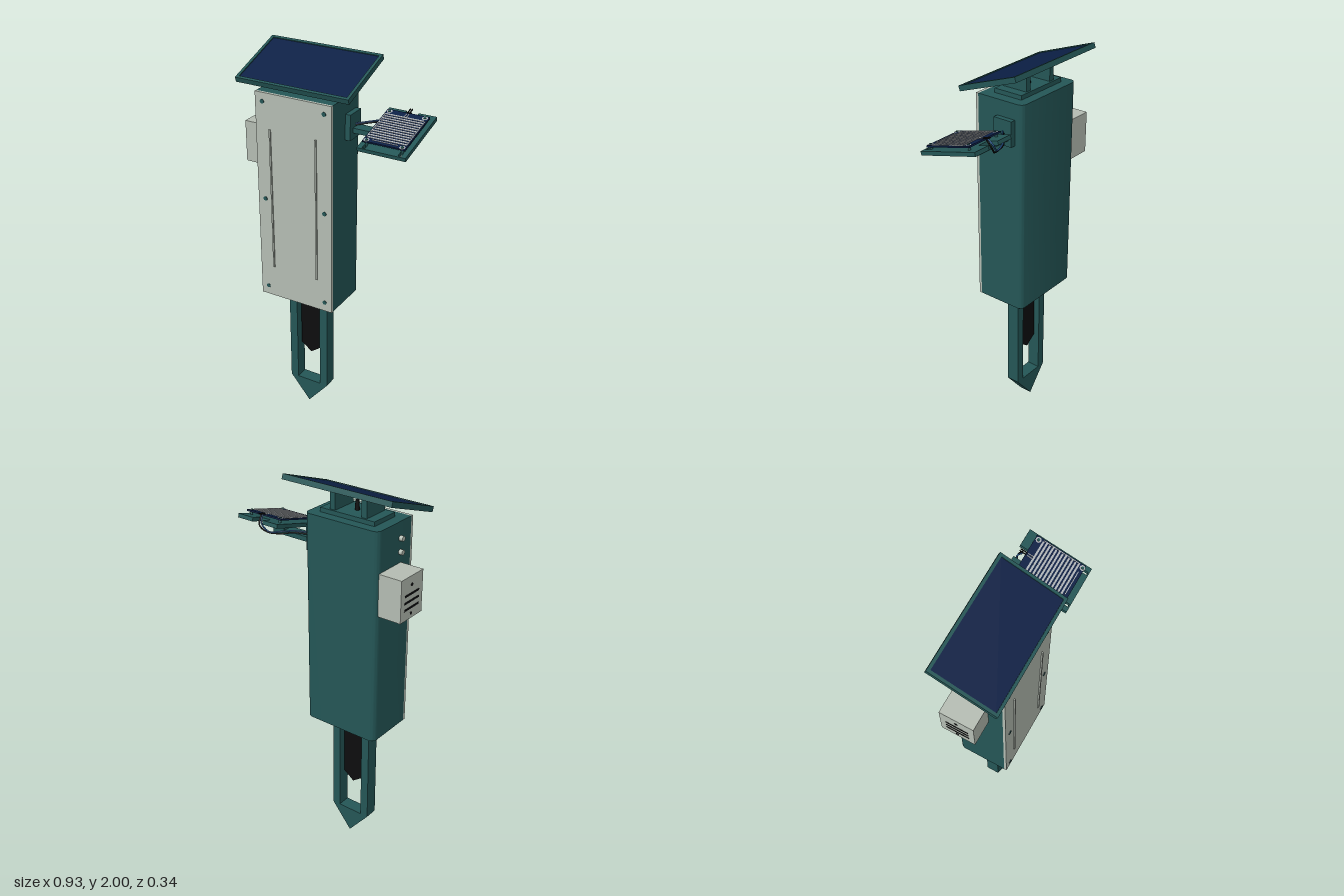
import * as THREE from 'three';
import { toCreasedNormals } from 'three/addons/utils/BufferGeometryUtils.js';

const mat = (name, color) => {
  const m = new THREE.MeshStandardMaterial({ color });
  m.name = name;
  return m;
};

export function createModel() {
  const teal = mat('teal plastic', 0x245656);
  const grey = mat('pale grey plastic', 0xb4bcb2);
  const navy = mat('navy panel', 0x0b1f45);
  const black = mat('black', 0x0d0d0e);
  const silver = mat('silver trace', 0xb2b6ba);
  const blue = mat('blue wire', 0x2a5c9c);

  const root = new THREE.Group();
  root.name = 'soilStation';

  const add = (parent, name, geo, material, x = 0, y = 0, z = 0) => {
    const m = new THREE.Mesh(geo, material);
    m.name = name;
    m.position.set(x, y, z);
    parent.add(m);
    return m;
  };
  // Box given by its limits
  const box = (parent, name, material, [x0, x1], [y0, y1], [z0, z1]) =>
    add(parent, name, new THREE.BoxGeometry(x1 - x0, y1 - y0, z1 - z0), material,
      (x0 + x1) / 2, (y0 + y1) / 2, (z0 + z1) / 2);
  const poly = (pts) => new THREE.Shape(pts.map(([a, b]) => new THREE.Vector2(a, b)));
  const rect = (x0, x1, y0, y1) => poly([[x0, y0], [x1, y0], [x1, y1], [x0, y1]]);
  const extrude = (shape, depth, segs = 6) =>
    new THREE.ExtrudeGeometry(shape, { depth, bevelEnabled: false, curveSegments: segs });
  // Extrude upward: shape coordinates are (x, -z)
  const extrudeUp = (shape, height, segs) => extrude(shape, height, segs).rotateX(-Math.PI / 2);
  const tube = (parent, name, material, pts, r) =>
    add(parent, name, new THREE.TubeGeometry(
      new THREE.CatmullRomCurve3(pts.map((p) => new THREE.Vector3(...p))), 24, r, 6), material);

  // Main housing with rounded rear corners
  const housing = new THREE.Shape();
  const r = 0.03;
  housing.moveTo(-0.34, -0.135);
  housing.lineTo(0.08, -0.135);
  housing.lineTo(0.08, 0.13 - r);
  housing.absarc(0.08 - r, 0.13 - r, r, 0, Math.PI / 2);
  housing.absarc(-0.34 + r, 0.13 - r, r, Math.PI / 2, Math.PI);
  housing.closePath();
  add(root, 'housing', toCreasedNormals(extrudeUp(housing, 1.115), 0.5), teal, 0, 0.715, 0);
  box(root, 'bottomFlange', teal, [-0.31, 0.05], [0.69, 0.715], [-0.095, 0.095]);

  // Front cover, ribs and screws
  box(root, 'frontCover', grey, [-0.34, 0.08], [0.715, 1.83], [0.135, 0.149]);
  for (const x of [-0.26, -0.005])
    box(root, 'coverRib', grey, [x - 0.004, x + 0.004], [0.89, 1.65], [0.149, 0.156]);
  for (const x of [-0.3, 0.04])
    for (const y of [0.765, 1.273, 1.785])
      add(root, 'coverScrew', new THREE.CylinderGeometry(0.011, 0.011, 0.004, 16).rotateX(Math.PI / 2),
        teal, x, y, 0.15);

  // Vented sensor box on the side
  box(root, 'sensorBox', grey, [-0.465, -0.34], [1.41, 1.625], [-0.115, 0.06]);
  for (const y of [1.465, 1.5, 1.535])
    box(root, 'ventSlot', black, [-0.467, -0.464], [y - 0.005, y + 0.005], [-0.085, 0.03]);
  for (const y of [1.435, 1.58])
    add(root, 'ventHole', new THREE.CylinderGeometry(0.008, 0.008, 0.004, 12).rotateZ(Math.PI / 2),
      black, -0.465, y, -0.03);
  for (const y of [1.68, 1.748])
    add(root, 'sideButton', new THREE.CylinderGeometry(0.013, 0.013, 0.022, 16).rotateZ(Math.PI / 2),
      grey, -0.348, y, 0.05);

  // Ground fork with pointed foot
  const fork = poly([[-0.245, 0.69], [-0.245, 0.14], [-0.13, 0], [-0.015, 0.14], [-0.015, 0.69]]);
  fork.holes.push(rect(-0.2, -0.06, 0.14, 0.685));
  add(root, 'groundFork', extrude(fork, 0.07), teal, 0, 0, -0.034);

  // Soil probe
  const probe = poly([[-0.19, 0.69], [-0.19, 0.36], [-0.13, 0.315], [-0.07, 0.36], [-0.07, 0.69]]);
  add(root, 'soilProbe', extrude(probe, 0.016), black, 0, 0, -0.008);

  // Panel mount: shallow rim, two wedge legs and a cable gland
  box(root, 'mountBase', teal, [-0.285, 0.025], [1.83, 1.852], [-0.08, 0.08]);
  const leg = poly([[-0.07, 1.85], [0.07, 1.85], [0.07, 1.946], [-0.07, 1.897]]);
  for (const x of [-0.235, -0.055])
    add(root, 'mountLeg', extrude(leg, 0.03).rotateY(Math.PI / 2), teal, x, 0, 0);
  add(root, 'cableGland', new THREE.CylinderGeometry(0.009, 0.012, 0.05, 12), black, -0.13, 1.875, 0);

  // Tilted solar panel
  const solar = new THREE.Group();
  solar.name = 'solarPanel';
  solar.position.set(-0.1285, 1.933, 0);
  solar.rotation.x = 0.34;
  root.add(solar);
  const frame = rect(-0.307, 0.307, -0.176, 0.176);
  frame.holes.push(rect(-0.292, 0.292, -0.161, 0.161));
  add(solar, 'panelFrame', extrudeUp(frame, 0.027), teal, 0, -0.0135, 0);
  box(solar, 'panelBack', teal, [-0.3, 0.3], [-0.013, 0], [-0.17, 0.17]);
  box(solar, 'solarCells', navy, [-0.293, 0.293], [0, 0.009], [-0.162, 0.162]);

  // Arm bracket
  box(root, 'armBracket', teal, [0.08, 0.107], [1.62, 1.75], [-0.085, 0.02]);
  box(root, 'arm', teal, [0.107, 0.33], [1.652, 1.677], [-0.068, -0.006]);
  box(root, 'armPost', teal, [0.26, 0.33], [1.677, 1.698], [-0.068, -0.006]);

  // Tilted rain sensor tray, notched at the back
  const rain = new THREE.Group();
  rain.name = 'rainSensor';
  rain.position.set(0.339, 1.695, -0.009);
  rain.rotation.x = 0.26;
  root.add(rain);
  const tray = poly([[-0.124, -0.168], [0.124, -0.168], [0.124, 0.168], [0.031, 0.168],
    [0.031, 0.11], [-0.032, 0.11], [-0.032, 0.168], [-0.124, 0.168]]);
  for (const x of [-0.091, 0.091]) tray.holes.push(rect(x - 0.008, x + 0.008, -0.161, -0.13));
  add(rain, 'rainTray', extrudeUp(tray, 0.02), teal, 0, -0.01, 0);
  box(rain, 'rainBoard', navy, [-0.109, 0.109], [0.024, 0.032], [-0.127, 0.137]);

  // Corner posts with ring pads
  for (const x of [-0.091, 0.091])
    for (const z of [-0.11, 0.127]) {
      add(rain, 'boardPost', new THREE.CylinderGeometry(0.007, 0.007, 0.03, 12), teal, x, 0.022, z);
      add(rain, 'ringPad', new THREE.RingGeometry(0.007, 0.014, 20).rotateX(-Math.PI / 2),
        silver, x, 0.0335, z);
    }

  // Interleaved comb of traces
  const trace = (x0, x1, z0, z1) => box(rain, 'trace', silver, [x0, x1], [0.031, 0.034], [z0, z1]);
  for (let i = 0; i < 12; i++) {
    const z = -0.086 + i * 0.0172;
    const gap = i % 2 ? [0.007, 0] : [0, 0.007];
    trace(-0.104 + gap[0], 0.104 - gap[1], z - 0.0045, z + 0.0045);
  }
  trace(-0.104, -0.1, -0.086, 0.103);
  trace(0.1, 0.104, -0.086, 0.103);
  trace(-0.065, 0.065, 0.117, 0.121);
  for (const x of [-0.005, 0.007]) trace(x - 0.002, x + 0.002, -0.118, -0.086);

  // Connector pins and wires
  for (const x of [-0.004, 0.006])
    box(rain, 'pin', black, [x - 0.002, x + 0.002], [0.032, 0.037], [-0.158, -0.122]);
  tube(root, 'blueWire', blue, [[0.1, 1.69, -0.03], [0.18, 1.7, -0.09], [0.22, 1.7, -0.13],
    [0.29, 1.69, -0.15], [0.325, 1.73, -0.16], [0.335, 1.76, -0.135]], 0.004);
  tube(root, 'blackWire', black, [[0.1, 1.682, -0.035], [0.18, 1.692, -0.093], [0.22, 1.69, -0.132],
    [0.3, 1.683, -0.146], [0.335, 1.715, -0.163], [0.345, 1.76, -0.137]], 0.004);

  return root;
}
